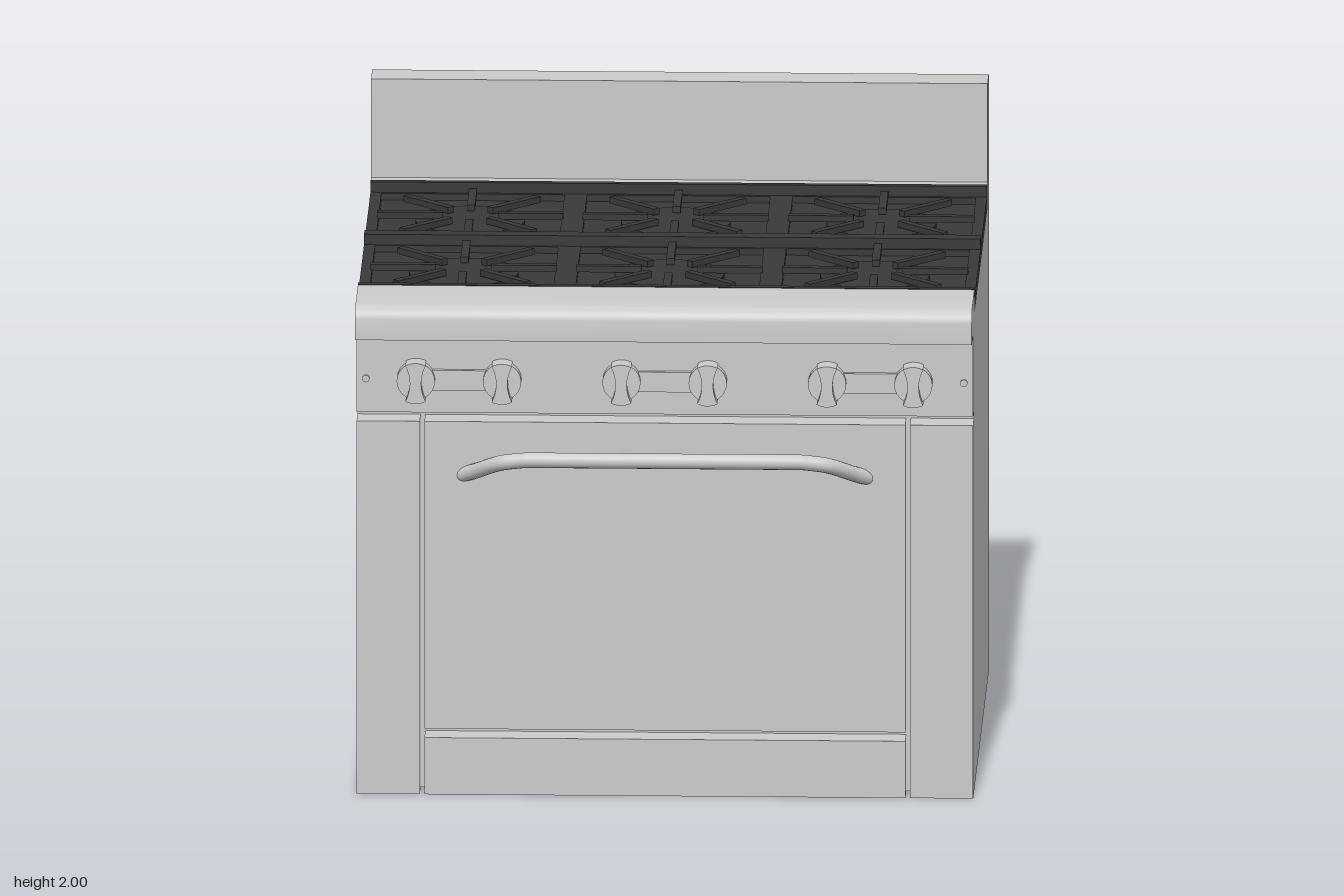
import * as THREE from 'three';
import { toCreasedNormals } from 'three/addons/utils/BufferGeometryUtils.js';

const steel = new THREE.MeshStandardMaterial({ color: 0xcccccc });
const iron = new THREE.MeshStandardMaterial({ color: 0x3a3a3a });

function add(parent, name, geometry, material = steel) {
  const mesh = new THREE.Mesh(geometry, material);
  mesh.name = name;
  parent.add(mesh);
  return mesh;
}

// Box given by its limits on each axis
function block(parent, name, [x0, x1], [y0, y1], [z0, z1], material) {
  const mesh = add(parent, name, new THREE.BoxGeometry(x1 - x0, y1 - y0, z1 - z0), material);
  mesh.position.set((x0 + x1) / 2, (y0 + y1) / 2, (z0 + z1) / 2);
  return mesh;
}

// Side profile (z, y) swept across the full width: cabinet, splashback, front rail, control panel
function cabinetGeometry() {
  const s = new THREE.Shape();
  s.moveTo(-0.89, 0);
  s.lineTo(0.65, 0);
  s.lineTo(0.65, 1.28);
  s.lineTo(0.74, 1.28);
  s.lineTo(0.74, 1.56);
  s.lineTo(0.89, 1.56);
  s.lineTo(0.89, 1.63);
  s.quadraticCurveTo(0.885, 1.665, 0.84, 1.67);
  s.lineTo(0.605, 1.67);
  s.lineTo(0.605, 1.59);
  s.lineTo(-0.73, 1.59);
  s.lineTo(-0.73, 1.67);
  s.lineTo(-0.77, 1.67);
  s.lineTo(-0.77, 2);
  s.lineTo(-0.89, 2);
  s.closePath();
  const g = new THREE.ExtrudeGeometry(s, { depth: 2, bevelEnabled: false, curveSegments: 8 });
  g.rotateY(-Math.PI / 2).translate(1, 0, 0);
  return toCreasedNormals(g, 0.6);
}

const burnerX = [-0.667, 0, 0.667];
const burnerZ = [-0.395, 0.27];

function createCooktop() {
  const top = new THREE.Group();
  top.name = 'cooktop';

  // Plate with six square wells
  const s = new THREE.Shape();
  s.moveTo(-1, -0.605);
  s.lineTo(1, -0.605);
  s.lineTo(1, 0.73);
  s.lineTo(-1, 0.73);
  s.closePath();
  for (const x of burnerX) for (const z of burnerZ) {
    const h = new THREE.Path(), r = 0.297;
    h.moveTo(x - r, -z - r);
    h.lineTo(x - r, -z + r);
    h.lineTo(x + r, -z + r);
    h.lineTo(x + r, -z - r);
    h.closePath();
    s.holes.push(h);
  }
  const plate = new THREE.ExtrudeGeometry(s, { depth: 0.025, bevelEnabled: false });
  plate.rotateX(-Math.PI / 2).translate(0, 1.612, 0);
  add(top, 'grateFrame', plate, iron);
  block(top, 'wellFloor', [-1, 1], [1.588, 1.615], [-0.73, 0.605], iron);

  // Raised ridges at the back, middle and front
  for (const [z0, z1] of [[-0.73, -0.705], [-0.088, -0.035], [0.58, 0.605]])
    block(top, 'ridge', [-1, 1], [1.63, 1.672], [z0, z1], iron);

  // Burner disc with eight radial fingers
  for (const x of burnerX) for (const z of burnerZ) {
    const burner = new THREE.Group();
    burner.name = 'burner';
    burner.position.set(x, 0, z);
    add(burner, 'burnerDisc', new THREE.CylinderGeometry(0.178, 0.178, 0.015, 32), iron).position.y = 1.622;
    for (let i = 0; i < 8; i++) {
      const arm = new THREE.Group();
      arm.name = 'grateArm';
      arm.rotation.y = i * Math.PI / 4;
      block(arm, 'grateFinger', [0.09, 0.302], [1.634, 1.655], [-0.013, 0.013], iron);
      burner.add(arm);
    }
    top.add(burner);
  }
  return top;
}

// Round knob with a raised grip that is narrow at its middle
function createKnob(x) {
  const knob = new THREE.Group();
  knob.name = 'knob';
  knob.position.set(x, 1.393, 0.74);
  const skirt = new THREE.CylinderGeometry(0.062, 0.062, 0.035, 24).rotateX(Math.PI / 2);
  add(knob, 'knobSkirt', skirt).position.z = 0.0175;
  const a = 0.5, r = 0.068;
  const cx = r * Math.sin(a), cy = r * Math.cos(a);
  const s = new THREE.Shape();
  s.moveTo(cx, -cy);
  s.quadraticCurveTo(0.004, 0, cx, cy);
  s.absarc(0, 0, r, Math.PI / 2 - a, Math.PI / 2 + a, false);
  s.quadraticCurveTo(-0.004, 0, -cx, -cy);
  s.absarc(0, 0, r, -Math.PI / 2 - a, -Math.PI / 2 + a, false);
  const grip = new THREE.ExtrudeGeometry(s, { depth: 0.068, bevelEnabled: false, curveSegments: 8 });
  add(knob, 'knobGrip', toCreasedNormals(grip, 0.6));
  return knob;
}

// Bar handle with both ends bent down and back to the door
function createHandle() {
  const p = [[0.655, 1.07, 0.725], [0.62, 1.087, 0.755], [0.53, 1.137, 0.835], [0.45, 1.152, 0.853]];
  const right = p.map(([x, y, z]) => new THREE.Vector3(x, y, z));
  const left = p.map(([x, y, z]) => new THREE.Vector3(-x, y, z)).reverse();
  const path = new THREE.CurvePath();
  path.add(new THREE.CatmullRomCurve3(right));
  path.add(new THREE.LineCurve3(right[3], left[0]));
  path.add(new THREE.CatmullRomCurve3(left));
  const handle = new THREE.Group();
  handle.name = 'doorHandle';
  add(handle, 'handleBar', new THREE.TubeGeometry(path, 90, 0.025, 16));
  for (const e of [right[0], left[3]])
    add(handle, 'handleEnd', new THREE.SphereGeometry(0.025, 16, 10)).position.copy(e);
  return handle;
}

export function createModel() {
  const model = new THREE.Group();
  model.name = 'gasRange';
  add(model, 'cabinet', cabinetGeometry());

  // Front panels, separated by narrow gaps
  const depth = [0.65, 0.74];
  block(model, 'leftPillar', [0.795, 1], [0, 1.25], depth);
  block(model, 'rightPillar', [-1, -0.795], [0, 1.25], depth);
  block(model, 'ovenDoor', [-0.78, 0.78], [0.22, 1.25], depth);
  block(model, 'kickPanel', [-0.78, 0.78], [0, 0.19], depth);
  model.add(createHandle());

  // Three pairs of knobs, each pair joined by a flat plate
  for (const x of burnerX) {
    block(model, 'knobPlate', [x - 0.14, x + 0.14], [1.358, 1.425], [0.735, 0.756]);
    model.add(createKnob(x - 0.14), createKnob(x + 0.14));
  }
  // Small screws at the ends of the control panel
  for (const x of [-0.97, 0.97]) {
    const screw = new THREE.CylinderGeometry(0.012, 0.012, 0.012, 12).rotateX(Math.PI / 2);
    add(model, 'panelScrew', screw).position.set(x, 1.393, 0.742);
  }

  model.add(createCooktop());
  return model;
}
